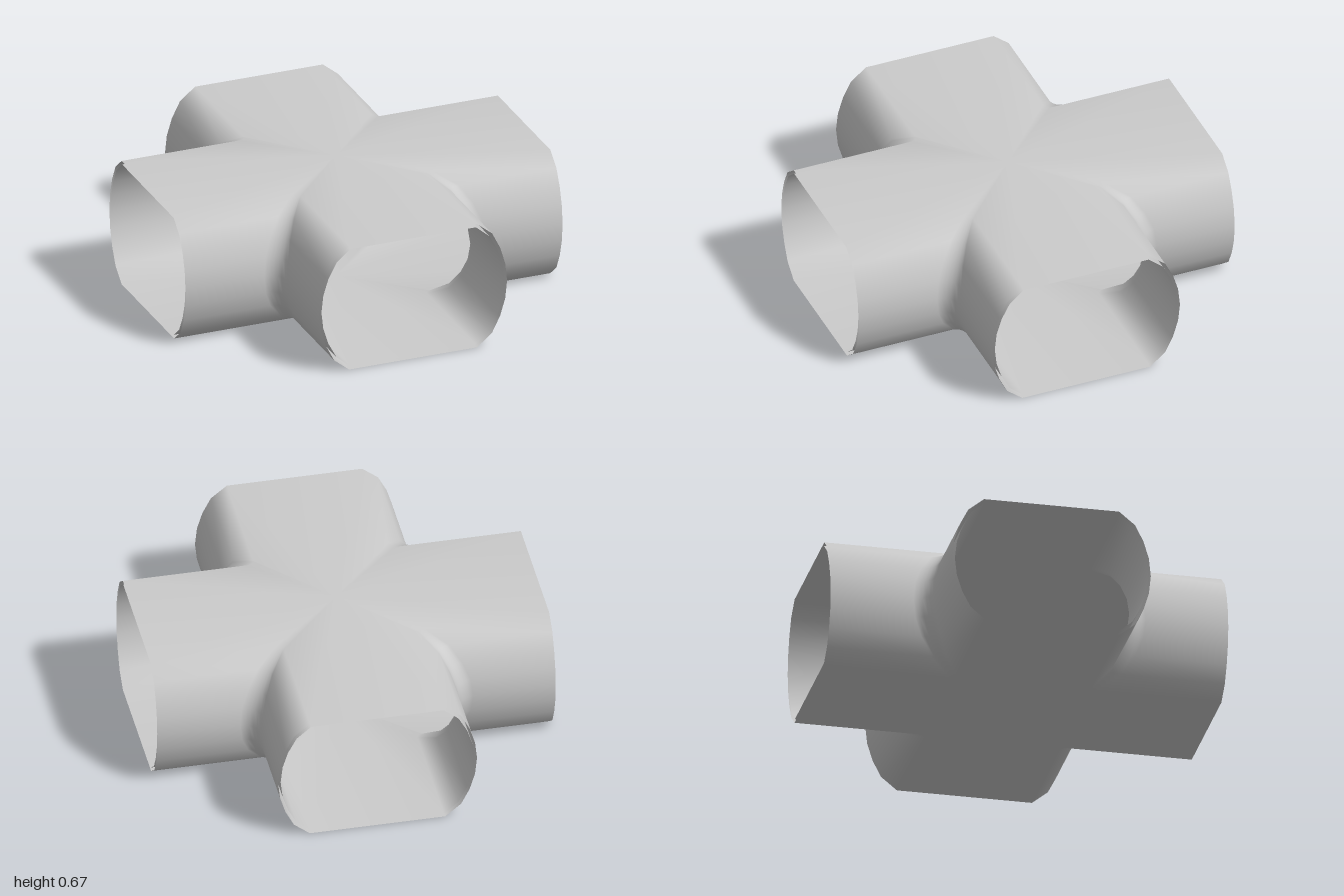
import * as THREE from 'three';

const HEIGHT = 0.67;
const WALL = 0.017;

// Half-profile of the side wall, top to bottom: [half width, y]
const upper = [[0.34, 0.67], [0.42, 0.605], [0.463, 0.52], [0.49, 0.43], [0.5, 0.335]];
const outerProfile = [...upper, ...upper.slice(0, -1).reverse().map(([w, y]) => [w, HEIGHT - y])];
const innerProfile = outerProfile.map(([w, y]) => {
  const mid = HEIGHT / 2;
  return [w - (w < 0.4 ? 0.006 : 0.013), mid + (y - mid) * (1 - WALL / mid)];
});

// Plan outline of one corner between two arms, with a rounded inside corner
function cornerPath(w) {
  const r = 0.03 + 0.055 * Math.min(1, Math.max(0, (w - 0.33) / 0.16));
  const path = [[1, w]];
  const steps = 6;
  for (let i = 0; i <= steps; i++) {
    const a = (i / steps) * Math.PI / 2;
    path.push([w + r - r * Math.sin(a), w + r - r * Math.cos(a)]);
  }
  path.push([w, 1]);
  return path;
}

// Cross-shaped shell: stacked plan outlines, open at the four arm ends
function crossShell(profile, inward) {
  const pos = [], idx = [];
  const n = cornerPath(0.5).length, ring = 4 * n;
  for (const [w, y] of profile) {
    for (let q = 0; q < 4; q++) {
      for (let [x, z] of cornerPath(w)) {
        for (let k = 0; k < q; k++) [x, z] = [-z, x];
        pos.push(x, y, z);
      }
    }
  }
  const tri = (a, b, c) => (inward ? idx.push(a, c, b) : idx.push(a, b, c));

  // Side walls, skipping the arm openings
  for (let k = 0; k < profile.length - 1; k++) {
    for (let i = 0; i < ring; i++) {
      if (i % n === n - 1) continue;
      const a = k * ring + i, c = a + ring;
      tri(a, a + 1, c);
      tri(a + 1, c + 1, c);
    }
  }

  // Flat ceiling and floor
  const top = pos.length / 3, bottom = top + 1, last = (profile.length - 1) * ring;
  pos.push(0, profile[0][1], 0, 0, profile[profile.length - 1][1], 0);
  for (let i = 0; i < ring; i++) {
    const j = (i + 1) % ring;
    tri(top, j, i);
    tri(bottom, last + i, last + j);
  }

  const geo = new THREE.BufferGeometry();
  geo.setAttribute('position', new THREE.Float32BufferAttribute(pos, 3));
  geo.setIndex(idx);
  geo.computeVertexNormals();
  return geo;
}

export function createModel() {
  const group = new THREE.Group();
  group.name = 'crossCorridor';
  const material = new THREE.MeshStandardMaterial({ color: 0xcccccc, side: THREE.DoubleSide });
  const add = (name, geo) => {
    const mesh = new THREE.Mesh(geo, material);
    mesh.name = name;
    group.add(mesh);
  };
  add('outerShell', crossShell(outerProfile, false));
  add('innerShell', crossShell(innerProfile, true));
  return group;
}
